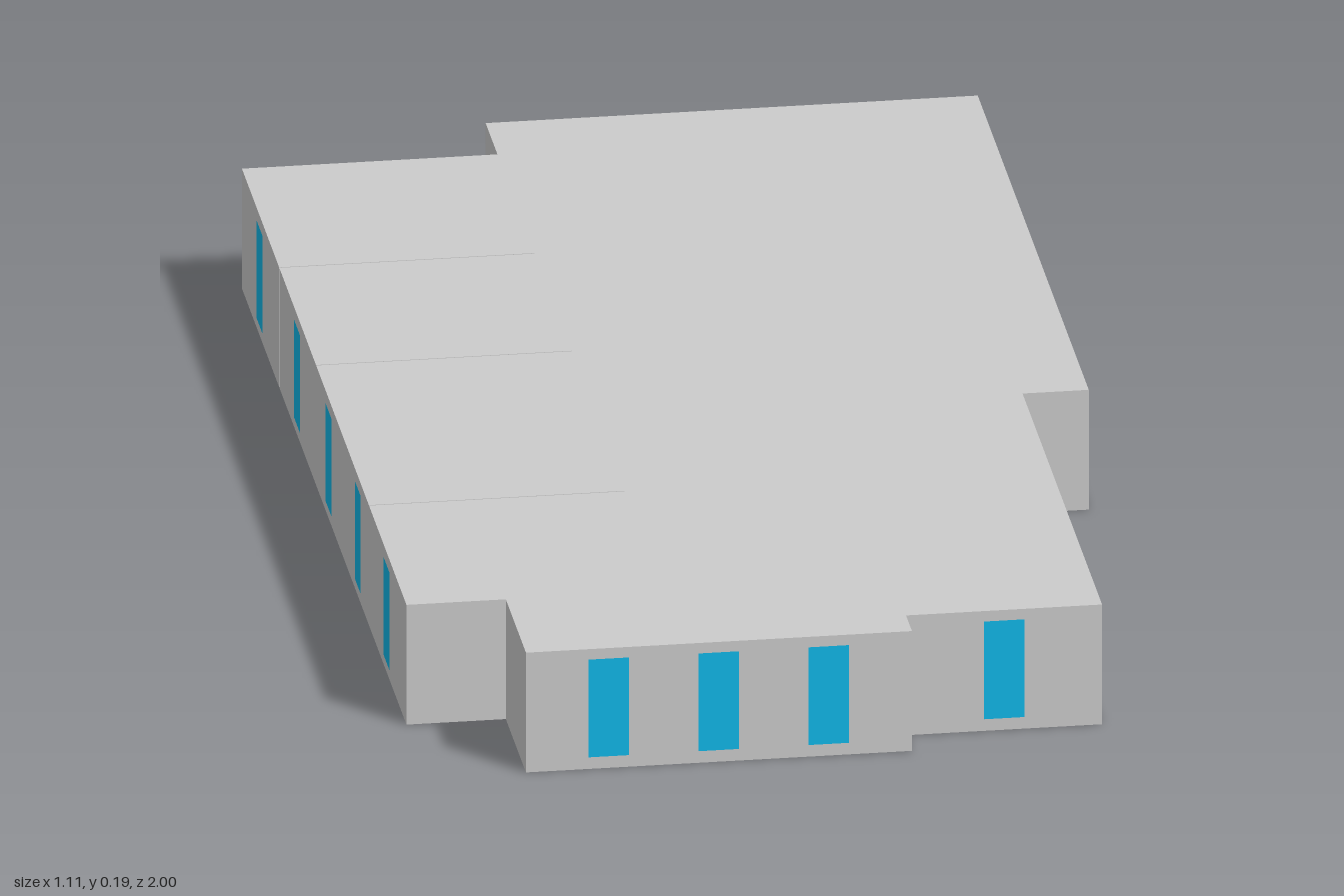
import * as THREE from 'three';

const HEIGHT = 0.19;
const SIDE = 0.553; // outer wall of the room wings

const wallMaterial = new THREE.MeshStandardMaterial({ color: 0xcccccc, flatShading: true });
const glassMaterial = new THREE.MeshStandardMaterial({ color: 0x10b8e8, side: THREE.DoubleSide });

// Upright block over a rectangular floor area
function room(name, x0, x1, z0, z1) {
  const mesh = new THREE.Mesh(new THREE.BoxGeometry(x1 - x0, HEIGHT, z1 - z0), wallMaterial);
  mesh.position.set((x0 + x1) / 2, HEIGHT / 2, (z0 + z1) / 2);
  mesh.name = name;
  return mesh;
}

// Flat pane lying just proud of a wall, turned to face outwards
function pane(name, x, z, turn) {
  const mesh = new THREE.Mesh(new THREE.PlaneGeometry(0.06, 0.155), glassMaterial);
  mesh.rotation.y = turn;
  mesh.position.set(x + Math.sin(turn) * 0.0015, 0.0965, z + Math.cos(turn) * 0.0015);
  mesh.name = name;
  return mesh;
}

export function createModel() {
  const model = new THREE.Group();
  model.name = 'singleStoreyBuilding';

  // Hall and front living area, extruded from one floor outline (x, z)
  const outline = [
    [-0.175, -1], [0.17, -1], [0.17, 0.13], [0.455, 0.13], [0.455, 0.94],
    [0.165, 0.94], [0.165, 1], [-0.406, 1], [-0.406, 0.795], [-0.175, 0.795],
  ];
  const shape = new THREE.Shape(outline.map(([x, z]) => new THREE.Vector2(x, -z)));
  const hallGeometry = new THREE.ExtrudeGeometry(shape, { depth: HEIGHT, bevelEnabled: false });
  hallGeometry.rotateX(-Math.PI / 2);
  const hall = new THREE.Mesh(hallGeometry, wallMaterial);
  hall.name = 'hallAndLivingArea';
  model.add(hall);

  // Four rooms on the right wing, with hairline joints between them
  const rightEdges = [-0.88, -0.5, -0.125, 0.413, 0.795];
  for (let i = 0; i < 4; i++) {
    const z0 = rightEdges[i] + (i > 0 ? 0.001 : 0);
    const z1 = rightEdges[i + 1] - (i < 3 ? 0.001 : 0);
    model.add(room('rightRoom' + (i + 1), -SIDE, -0.175, z0, z1));
  }

  // Three rooms on the left wing
  const leftEdges = [-1, -0.62, -0.245, 0.13];
  for (let i = 0; i < 3; i++) {
    model.add(room('leftRoom' + (i + 1), 0.17, SIDE, leftEdges[i], leftEdges[i + 1]));
  }

  // Windows
  const windows = new THREE.Group();
  windows.name = 'windows';
  for (const x of [-0.284, -0.121, 0.042]) windows.add(pane('frontWindow', x, 1, 0));
  windows.add(pane('frontWindow', 0.31, 0.94, 0));
  for (const z of [-0.81, -0.43, -0.05]) windows.add(pane('leftRoomWindow', SIDE, z, Math.PI / 2));
  for (const z of [0.316, 0.543, 0.768]) windows.add(pane('livingAreaWindow', 0.455, z, Math.PI / 2));
  for (const z of [-0.69, -0.31, 0.01, 0.31, 0.604]) {
    windows.add(pane('rightRoomWindow', -SIDE, z, -Math.PI / 2));
  }
  model.add(windows);

  return model;
}
